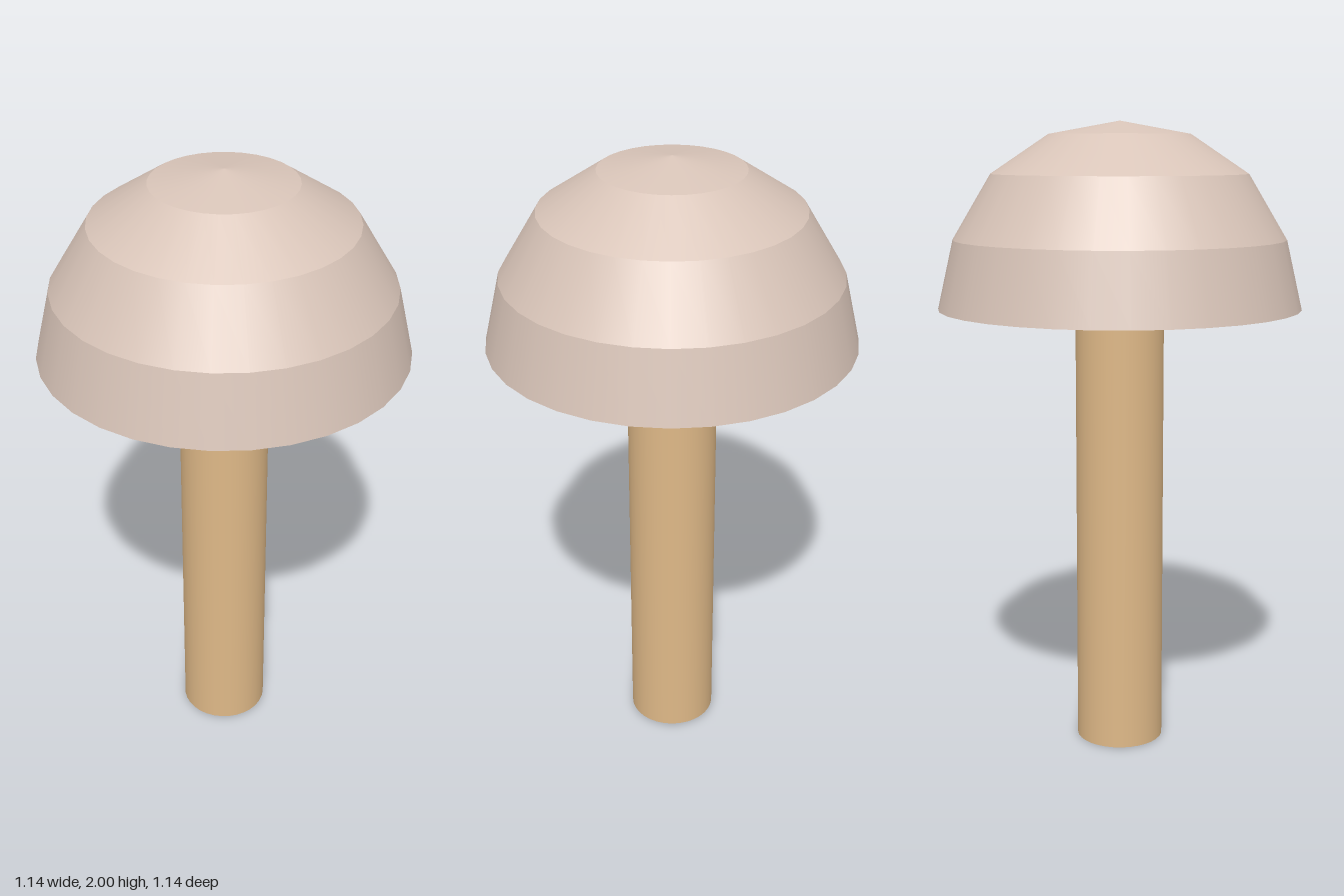
import * as THREE from 'three';
import { mergeGeometries } from 'three/addons/utils/BufferGeometryUtils.js';

const SEGMENTS = 32;

// Turned shell: smooth around the axis, with a crisp edge between bands
function bandedLathe(profile) {
  const bands = [];
  for (let i = 0; i < profile.length - 1; i++) {
    const pair = [profile[i], profile[i + 1]].map(([r, y]) => new THREE.Vector2(r, y));
    bands.push(new THREE.LatheGeometry(pair, SEGMENTS));
  }
  return mergeGeometries(bands);
}

export function createModel() {
  const stemTan = new THREE.MeshStandardMaterial({ name: 'stemTan', color: 0xdeb887 });
  const capBeige = new THREE.MeshStandardMaterial({ name: 'capBeige', color: 0xd8c4b8 });

  const group = new THREE.Group();
  group.name = 'mushroom';

  // Stem, running up into the hollow of the cap
  const stemHeight = 1.64;
  const stem = new THREE.Mesh(
    new THREE.CylinderGeometry(0.14, 0.14, stemHeight, SEGMENTS), stemTan);
  stem.name = 'stem';
  stem.position.y = stemHeight / 2;
  group.add(stem);

  // Cap: hollow underside out to the rim, then the dome up to the tip
  const cap = new THREE.Mesh(bandedLathe([
    [0, 1.65], [0.28, 1.585], [0.57, 1.425],
    [0.52, 1.64], [0.4, 1.84], [0.22, 1.96], [0, 2],
  ]), capBeige);
  cap.name = 'cap';
  group.add(cap);

  return group;
}
